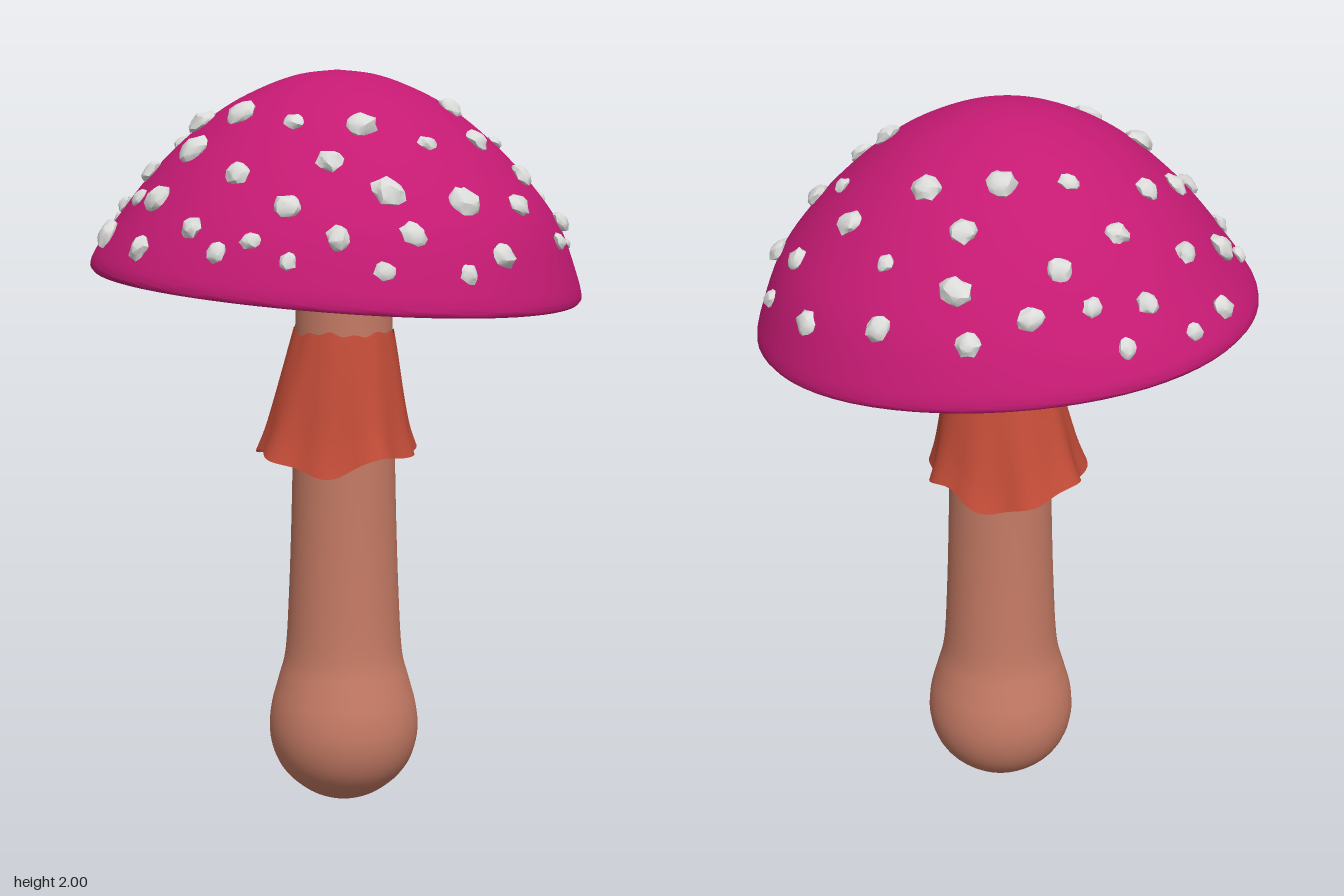
import * as THREE from 'three';
import { toCreasedNormals, mergeVertices } from 'three/addons/utils/BufferGeometryUtils.js';

const mat = (name, color, side = THREE.FrontSide) => {
  const m = new THREE.MeshStandardMaterial({ color, side });
  m.name = name;
  return m;
};
const V2 = (p) => p.map(([x, y]) => new THREE.Vector2(x, y));
const smooth = (p, n) => new THREE.SplineCurve(V2(p)).getPoints(n);

// The rim dips forward and a little to its left; the dome above stays upright
const tilt = (x, z) => -0.045 * x - 0.06 * z;
const domeTilt = (x, y, z) => tilt(x, z) * (1 - THREE.MathUtils.smoothstep(y, 1.44, 1.64));

// Move every vertex of a geometry by a rule
function deform(geo, rule) {
  const p = geo.attributes.position;
  const v = new THREE.Vector3();
  for (let i = 0; i < p.count; i++) {
    rule(v.fromBufferAttribute(p, i));
    p.setXYZ(i, v.x, v.y, v.z);
  }
  return geo;
}

// Closed ring surface from a grid of points: point(column, row) -> [x, y, z]
function gridSurface(cols, rows, point) {
  const pos = [], idx = [];
  for (let i = 0; i < cols; i++) {
    for (let j = 0; j <= rows; j++) pos.push(...point(i, j));
    const a = i * (rows + 1), b = ((i + 1) % cols) * (rows + 1);
    for (let j = 0; j < rows; j++) {
      idx.push(a + j, a + j + 1, b + j, b + j, a + j + 1, b + j + 1);
    }
  }
  const g = new THREE.BufferGeometry();
  g.setAttribute('position', new THREE.Float32BufferAttribute(pos, 3));
  g.setIndex(idx);
  g.computeVertexNormals();
  return g;
}

function seeded(seed) {
  let s = seed;
  return () => (s = (s * 16807) % 2147483647) / 2147483647;
}

export function createModel() {
  const capMat = mat('magenta', 0xc41a72);
  const stemMat = mat('clay', 0xc47a64);
  const skirtMat = mat('brick red', 0xc34c38, THREE.DoubleSide);
  const gillMat = mat('terracotta', 0xc85c42, THREE.DoubleSide);
  const wartMat = mat('pale grey', 0xdadad8);

  const model = new THREE.Group();
  model.name = 'mushroom';
  const add = (name, geo, material, parent = model) => {
    const m = new THREE.Mesh(geo, material);
    m.name = name;
    parent.add(m);
    return m;
  };

  // Cap: inner shell, rounded lip, then the dome up to the crown
  const dome = smooth([[0.657, 1.45], [0.647, 1.49], [0.593, 1.6], [0.5, 1.722], [0.4, 1.822],
    [0.3, 1.9], [0.2, 1.953], [0.1, 1.988], [0, 2]], 40);
  const inner = V2([[0.1, 1.8], [0.3, 1.78], [0.5, 1.66], [0.6, 1.505], [0.62, 1.46], [0.635, 1.442], [0.649, 1.44]]);
  const capGeo = deform(new THREE.LatheGeometry([...inner, ...dome], 72), (v) => {
    const a = Math.atan2(v.x, v.z), r = Math.hypot(v.x, v.z);
    const wobble = 1 + 0.012 * r * Math.cos(4 * a);
    v.x *= wobble;
    v.z *= wobble;
    v.y += domeTilt(v.x, v.y, v.z);
  });
  add('cap', toCreasedNormals(capGeo, 1.0), capMat);

  // Gills: a finely pleated underside with a jagged outer edge
  const ridge = smooth([[0.615, 1.462], [0.48, 1.53], [0.35, 1.59], [0.22, 1.64], [0.11, 1.69]], 8);
  const valley = smooth([[0.585, 1.5], [0.46, 1.6], [0.35, 1.66], [0.22, 1.7], [0.11, 1.72]], 8);
  const folds = 240;
  const gills = gridSurface(folds, 8, (i, j) => {
    const p = (i % 2 ? valley : ridge)[j], a = (i / folds) * Math.PI * 2;
    const x = p.x * Math.sin(a), z = p.x * Math.cos(a);
    return [x, p.y + tilt(x, z), z];
  }).toNonIndexed();
  gills.computeVertexNormals();
  add('gills', gills, gillMat);

  // Stem with a swollen foot
  const stemProfile = smooth([[0, 0], [0.05, 0.013], [0.105, 0.038], [0.16, 0.085], [0.192, 0.14], [0.205, 0.205],
    [0.199, 0.275], [0.179, 0.35], [0.16, 0.43], [0.15, 0.6], [0.143, 0.8], [0.137, 1.05], [0.131, 1.3], [0.13, 1.7]], 52);
  stemProfile.push(new THREE.Vector2(0, 1.7));
  const stem = add('stem', toCreasedNormals(new THREE.LatheGeometry(stemProfile, 40), 0.9), stemMat);
  stem.position.set(0.01, 0, 0.018);

  // Skirt: flared ring with soft folds, ragged top and scalloped hem
  const rows = 12, cols = 96;
  const flare = smooth([[0.217, 0], [0.197, 0.18], [0.18, 0.4], [0.158, 0.7], [0.143, 0.9], [0.135, 1]], rows);
  const skirt = gridSurface(cols, rows, (i, j) => {
    const a = (i / cols) * Math.PI * 2, p = flare[j], t = 1 - p.y;
    const hem = 0.974 + 0.015 * Math.cos(4 * a) + 0.016 * Math.sin(2 * a) + 0.006 * Math.cos(7 * a + 1);
    const top = 1.312 + 0.008 * Math.sin(9 * a) * Math.cos(4 * a);
    const r = p.x + t * t * (0.007 * Math.cos(4 * a) + 0.009 * Math.cos(9 * a + 0.6));
    return [0.01 * (1 - t) + r * Math.sin(a), hem + (top - hem) * p.y, 0.018 * (1 - t) + r * Math.cos(a)];
  });
  add('skirt', skirt, skirtMat);

  // Warts: irregular lumps, grouped by size, placed by their x, z on the dome
  const warts = [
    [0.039, [[-0.33, -0.44], [0.42, -0.31], [0.21, -0.23], [-0.33, -0.13], [-0.43, 0], [-0.32, 0.05],
      [0.33, -0.09], [0.02, 0.54], [-0.14, 0.33], [-0.17, 0.49], [-0.54, 0.01], [-0.59, -0.17]]],
    [0.032, [[-0.2, -0.58], [0.04, -0.56], [-0.15, -0.49], [0.03, -0.44], [0.21, -0.44], [0.32, -0.46],
      [0.45, -0.39], [0.34, -0.24], [-0.14, -0.36], [-0.29, -0.31], [-0.45, -0.19], [0.56, -0.19],
      [0.61, 0.03], [0.45, 0.06], [0.52, 0.19], [0.2, 0.23], [0.45, 0.38], [0.32, 0.38], [0.19, 0.36],
      [0.21, 0.51], [0.09, 0.61], [-0.26, 0.37], [-0.39, 0.38], [-0.43, 0.22], [-0.55, 0.2],
      [-0.32, 0.5], [-0.15, 0.57], [-0.62, 0.06]]],
    [0.024, [[-0.06, -0.62], [0.14, -0.6], [0.18, -0.52], [-0.44, -0.4], [0.07, -0.31], [-0.48, -0.29],
      [-0.53, -0.11], [0.48, -0.12], [0.36, 0.21], [0.56, 0.26], [0.36, 0.49], [0, 0.41], [-0.27, 0.22],
      [-0.54, 0.3], [-0.48, 0.36], [-0.43, 0.45], [-0.24, 0.58], [-0.03, 0.63]]],
  ];
  const rnd = seeded(4217);
  const lump = () => {
    const g = new THREE.IcosahedronGeometry(1, 1);
    g.deleteAttribute('normal');
    g.deleteAttribute('uv');
    const rough = deform(mergeVertices(g, 1e-3), (v) => {
      v.multiplyScalar(0.82 + 0.36 * rnd());
      v.y *= 0.6;
    });
    return toCreasedNormals(rough, 0.75);
  };
  const lumps = Array.from({ length: 6 }, lump);
  const wartGroup = new THREE.Group();
  wartGroup.name = 'warts';
  model.add(wartGroup);
  const up = new THREE.Vector3(0, 1, 0);
  let n = 0;
  for (const [size, spots] of warts) {
    for (const [x, z] of spots) {
      const r = Math.hypot(x, z);
      const k = Math.max(1, dome.findIndex((p) => p.x <= r));
      const a = dome[k - 1], b = dome[k];
      const slope = (b.y - a.y) / (b.x - a.x);
      const y = a.y + slope * (r - a.x);
      const normal = new THREE.Vector3(-slope * x / r, 1, -slope * z / r).normalize();
      const m = add('wart', lumps[n++ % lumps.length], wartMat, wartGroup);
      m.position.set(x, y + domeTilt(x, y, z), z).addScaledVector(normal, size * 0.12);
      m.quaternion.setFromUnitVectors(up, normal);
      m.rotateY(rnd() * 6.28);
      m.scale.set(size * (0.85 + 0.25 * rnd()), size, size * (0.85 + 0.25 * rnd()));
    }
  }
  return model;
}
